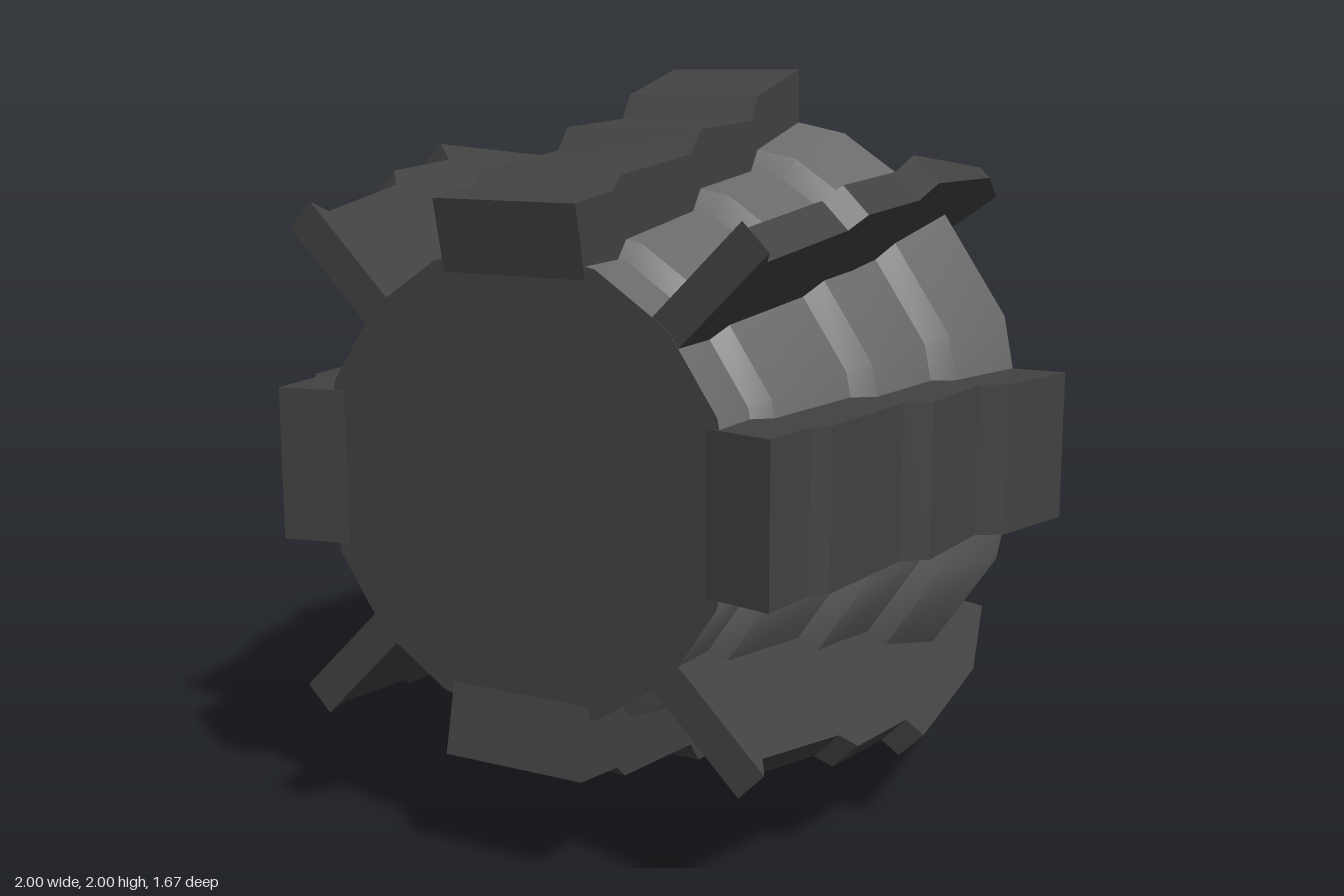
import * as THREE from 'three';
import { toCreasedNormals } from 'three/addons/utils/BufferGeometryUtils.js';

const bodyMat = new THREE.MeshStandardMaterial({ color: 0x6a6a6a });
const finMat = new THREE.MeshStandardMaterial({ color: 0x424242 });

// Extrudes a side profile of [z, radius] points, centred across x
function plate(points, thickness) {
  const shape = new THREE.Shape(points.map(([z, r]) => new THREE.Vector2(z, r)));
  const geo = new THREE.ExtrudeGeometry(shape, { depth: thickness, bevelEnabled: false });
  geo.translate(0, 0, -thickness / 2);
  geo.rotateY(-Math.PI / 2);
  return geo;
}

// 16-sided turned surface around z from [radius, z] points
function turned(points) {
  const geo = new THREE.LatheGeometry(points.map(([r, z]) => new THREE.Vector2(r, z)), 16);
  geo.rotateX(Math.PI / 2);
  return toCreasedNormals(geo, 0.45);
}

function addMesh(parent, name, geometry, material) {
  const mesh = new THREE.Mesh(geometry, material);
  mesh.name = name;
  parent.add(mesh);
  return mesh;
}

export function createModel() {
  const model = new THREE.Group();
  model.name = 'model';

  // Dark well at the back, flared mouth with stepped shell, and flat front
  const well = turned([[0, 0.17], [0.45, 0.17], [0.46, 0.15], [0.54, 0.13], [0.55, -0.29]]);
  const shell = turned([
    [0.55, -0.29], [0.655, -0.49], [0.67, -0.51], [0.715, -0.51], [0.735, -0.5],
    [0.893, -0.36], [0.826, -0.10], [0.77, -0.06], [0.74, 0.23], [0.685, 0.27],
    [0.64, 0.61], [0.595, 0.65], [0.592, 0.8],
  ]);
  const cover = turned([[0.592, 0.8], [0, 0.8]]);
  addMesh(model, 'rearWell', well, finMat).position.y = 1;
  addMesh(model, 'shell', shell, bodyMat).position.y = 1;
  addMesh(model, 'frontCover', cover, finMat).position.y = 1;

  // Wide stepped ribs with a pyramid at the back
  const rib = plate([
    [0.79, 0.47], [0.80, 0.52], [0.84, 0.70], [0.67, 0.72], [0.63, 0.755], [0.28, 0.79],
    [0.23, 0.85], [-0.06, 0.865], [-0.10, 0.93], [-0.36, 1.0], [-0.36, 0.62], [-0.1, 0.57],
    [0.6, 0.5],
  ].reverse(), 0.4);
  const pyramid = new THREE.ConeGeometry(0.2 * Math.SQRT2, 0.24, 4).toNonIndexed();
  pyramid.rotateY(Math.PI / 4);
  pyramid.rotateX(-Math.PI / 2);
  pyramid.translate(0, 0.8, -0.48);
  pyramid.computeVertexNormals();

  // Thin diagonal blades, stepped in front and tapering to a spike behind
  const blade = plate([
    [0.08, 0.58], [0.799, 0.57], [0.8, 0.905], [0.76, 0.87], [0.42, 0.935], [0.38, 0.985],
    [0.10, 1.01], [0.08, 1.07],
  ], 0.096);
  const spike = plate([
    [-0.83, 0.89], [-0.5, 0.72], [-0.3, 0.62], [0.08, 0.58], [0.08, 1.07], [-0.46, 1.02],
  ], 0.096);
  const pos = spike.attributes.position;
  for (let i = 0; i < pos.count; i++) {
    pos.setX(i, pos.getX(i) * Math.max(0, (pos.getZ(i) + 0.83) / 0.91));
  }
  spike.computeVertexNormals();

  for (let i = 0; i < 4; i++) {
    const ribGroup = new THREE.Group();
    ribGroup.name = 'rib';
    ribGroup.position.y = 1;
    ribGroup.rotation.z = i * Math.PI / 2;
    addMesh(ribGroup, 'ribBar', rib, finMat);
    addMesh(ribGroup, 'ribPoint', pyramid, finMat);

    const fin = new THREE.Group();
    fin.name = 'fin';
    fin.position.y = 1;
    fin.rotation.z = (i + 0.5) * Math.PI / 2;
    addMesh(fin, 'finBlade', blade, finMat);
    addMesh(fin, 'finSpike', spike, finMat);
    model.add(ribGroup, fin);
  }

  return model;
}
